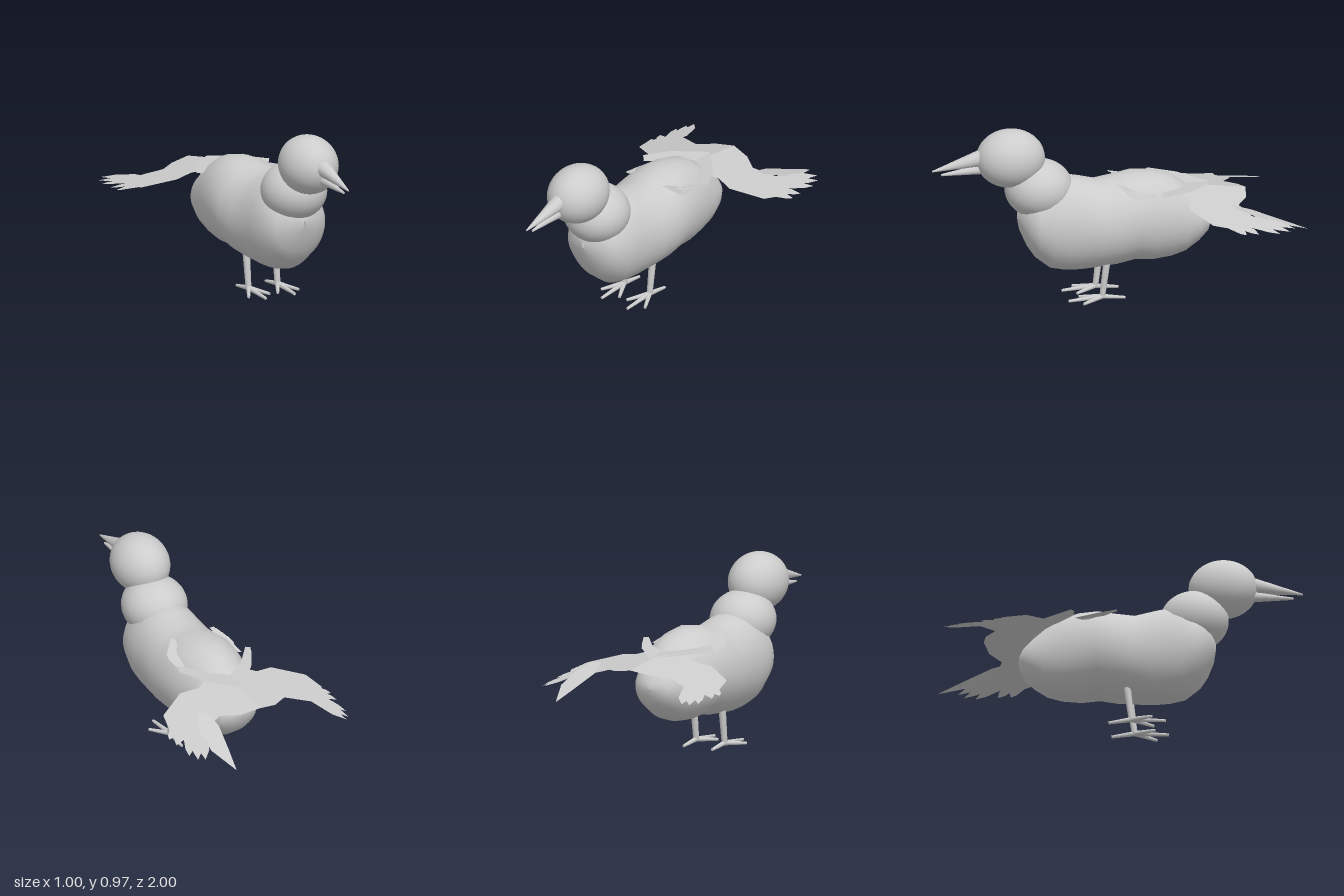
import * as THREE from 'three';

const plumage = new THREE.MeshStandardMaterial({ color: 0xcccccc, side: THREE.DoubleSide });
plumage.name = 'pale grey';

function add(parent, name, geometry) {
  const mesh = new THREE.Mesh(geometry, plumage);
  mesh.name = name;
  parent.add(mesh);
  return mesh;
}

function ellipsoid(parent, name, [x, y, z], [rx, ry, rz]) {
  const mesh = add(parent, name, new THREE.SphereGeometry(1, 32, 24));
  mesh.position.set(x, y, z);
  mesh.scale.set(rx, ry, rz);
}

// Round rod or cone from a to b
function rod(parent, name, a, b, ra, rb, sides = 12) {
  const from = new THREE.Vector3(...a), to = new THREE.Vector3(...b);
  const dir = to.clone().sub(from);
  const mesh = add(parent, name, new THREE.CylinderGeometry(rb, ra, dir.length(), sides));
  mesh.position.copy(from).add(to).multiplyScalar(0.5);
  mesh.quaternion.setFromUnitVectors(new THREE.Vector3(0, 1, 0), dir.normalize());
}

// Elliptical sections along z: [z, bottom, top, half width]
function loft(sections, sides = 36) {
  const pos = [], index = [];
  sections.forEach(([z, low, high, w], i) => {
    for (let j = 0; j < sides; j++) {
      const a = (j / sides) * Math.PI * 2;
      pos.push(w * Math.cos(a), (low + high) / 2 + ((high - low) / 2) * Math.sin(a), z);
      if (i === sections.length - 1) continue;
      const p = i * sides + j, q = i * sides + ((j + 1) % sides);
      index.push(p, p + sides, q, q, p + sides, q + sides);
    }
  });
  const g = new THREE.BufferGeometry();
  g.setAttribute('position', new THREE.Float32BufferAttribute(pos, 3));
  g.setIndex(index);
  g.computeVertexNormals();
  return g;
}

// Thin sheet from an (x, z) outline, lifted to height(x, z)
function sheet(parent, name, outline, height, side = 1) {
  const shape = new THREE.Shape(outline.map(([x, z]) => new THREE.Vector2(x, -z)));
  const g = new THREE.ShapeGeometry(shape).toNonIndexed();
  const p = g.attributes.position;
  for (let i = 0; i < p.count; i++) {
    const x = p.getX(i), z = -p.getY(i);
    p.setXYZ(i, x * side, height(x, z), z);
  }
  // keep the upper face in front after mirroring
  if (side < 0) {
    for (let i = 0; i < p.count; i += 3) {
      const b = [p.getX(i + 1), p.getY(i + 1), p.getZ(i + 1)];
      p.setXYZ(i + 1, p.getX(i + 2), p.getY(i + 2), p.getZ(i + 2));
      p.setXYZ(i + 2, ...b);
    }
  }
  g.computeVertexNormals();
  add(parent, name, g);
}

// Pointed feather outline from root to tip
function blade([x0, z0], [x1, z1], w, bend = 0) {
  const dx = x1 - x0, dz = z1 - z0, l = Math.hypot(dx, dz), nx = -dz / l, nz = dx / l;
  const at = (t, s) => {
    const o = s * w + bend * Math.sin(Math.PI * t);
    return [x0 + dx * t + nx * o, z0 + dz * t + nz * o];
  };
  return [at(0, -0.4), at(0.4, -1), at(0.8, -0.8), at(1, 0), at(0.8, 0.8), at(0.4, 1), at(0, 0.4)];
}

const wingHeight = (x, z) => 0.6 + 0.13 * (z + 0.4) - 0.2 * Math.abs(x);

function wing(side) {
  const g = new THREE.Group();
  g.name = side > 0 ? 'leftWing' : 'rightWing';
  // main spread of the wing
  sheet(g, 'wingSpread', [[0, -0.4], [0.13, -0.35], [0.18, -0.38], [0.28, -0.355], [0.44, -0.45],
    [0.47, -0.57], [0.42, -0.68], [0.36, -0.71], [0.2, -0.64], [0.11, -0.7], [0, -0.72]], wingHeight, side);
  // outer flight feathers, layered
  const tips = [[0.435, -0.9], [0.465, -0.87], [0.485, -0.81], [0.495, -0.69], [0.5, -0.62]];
  tips.forEach((tip, i) => sheet(g, 'flightFeather', blade([0.34 + i * 0.015, -0.57 + i * 0.015], tip, 0.032, -0.02),
    (x, z) => wingHeight(x, z) + 0.008 - i * 0.005, side));
  // shorter covert feathers above and below the spread
  for (let i = 0; i < 4; i++) {
    const outline = blade([0.12 + i * 0.02, -0.45 - i * 0.02], [0.34 + i * 0.025, -0.46 - i * 0.055], 0.035);
    sheet(g, 'upperCovert', outline, (x, z) => wingHeight(x, z) + 0.006 + i * 0.003, side);
    sheet(g, 'lowerCovert', outline, (x, z) => wingHeight(x, z) - 0.008 - i * 0.005, side);
  }
  // forward-swept shoulder feathers
  for (let i = 0; i < 3; i++) {
    sheet(g, 'shoulderFeather', [[0, -0.52], [0.15, -0.37], [0.225, -0.23 - i * 0.006], [0.205, -0.21], [0.1, -0.34], [0, -0.4]],
      (x) => 0.605 + 0.1 * x - i * 0.01, side);
  }
  // stacked feathers against the flank
  for (let i = 0; i < 6; i++) {
    const o = i * 0.011;
    sheet(g, 'flankFeather', [[0.11 + o, 0.01 - o], [0.135 + o, 0.01 - o], [0.16 + o * 0.7, -0.09],
      [0.185, -0.21 + o], [0.165, -0.2 + o], [0.12 + o, -0.1]],
      (x, z) => 0.66 + 0.3 * Math.min(z, 0) - o * 0.6, side);
  }
  return g;
}

function leg(side) {
  const g = new THREE.Group();
  g.name = side > 0 ? 'leftLeg' : 'rightLeg';
  const x = side * 0.09, ankle = [x, 0.025, 0.085];
  rod(g, 'shin', [x, 0.26, 0.055], ankle, 0.021, 0.016);
  [[0, 0.27], [-0.065, 0.2], [0.065, 0.2], [0, -0.04]].forEach(([dx, z]) =>
    rod(g, 'toe', ankle, [x + dx, 0.01, z], 0.014, 0.008, 10));
  return g;
}

export function createModel() {
  const bird = new THREE.Group();
  bird.name = 'bird';

  // body, neck and head
  add(bird, 'body', loft([
    [0.532, 0.46, 0.49, 0.005], [0.515, 0.39, 0.55, 0.09], [0.48, 0.31, 0.6, 0.15], [0.44, 0.25, 0.64, 0.18],
    [0.36, 0.185, 0.69, 0.2], [0.28, 0.168, 0.7, 0.205], [0.2, 0.165, 0.685, 0.208], [0.1, 0.175, 0.66, 0.222],
    [0, 0.185, 0.675, 0.232], [-0.1, 0.205, 0.695, 0.228], [-0.2, 0.195, 0.69, 0.21], [-0.3, 0.205, 0.665, 0.185],
    [-0.38, 0.23, 0.61, 0.165], [-0.45, 0.28, 0.55, 0.14], [-0.5, 0.33, 0.5, 0.105],
    [-0.525, 0.385, 0.46, 0.05], [-0.532, 0.42, 0.43, 0.004]]));
  ellipsoid(bird, 'neck', [0, 0.635, 0.415], [0.178, 0.16, 0.185]);
  ellipsoid(bird, 'head', [0, 0.815, 0.57], [0.155, 0.16, 0.187]);

  // beak
  rod(bird, 'upperBeak', [0, 0.835, 0.7], [0, 0.768, 1], 0.05, 0.004, 16);
  rod(bird, 'lowerBeak', [0, 0.768, 0.69], [0, 0.745, 0.95], 0.032, 0.006, 16);

  for (const side of [1, -1]) bird.add(wing(side), leg(side));

  // single loose feather trailing from the left wing
  sheet(bird, 'looseFeather', [[0.26, -0.6], [0.24, -0.7], [0.27, -0.86], [0.3, -1], [0.365, -0.84], [0.36, -0.7], [0.32, -0.6]],
    (x, z) => 0.52 + 0.37 * (z + 0.68));

  return bird;
}
